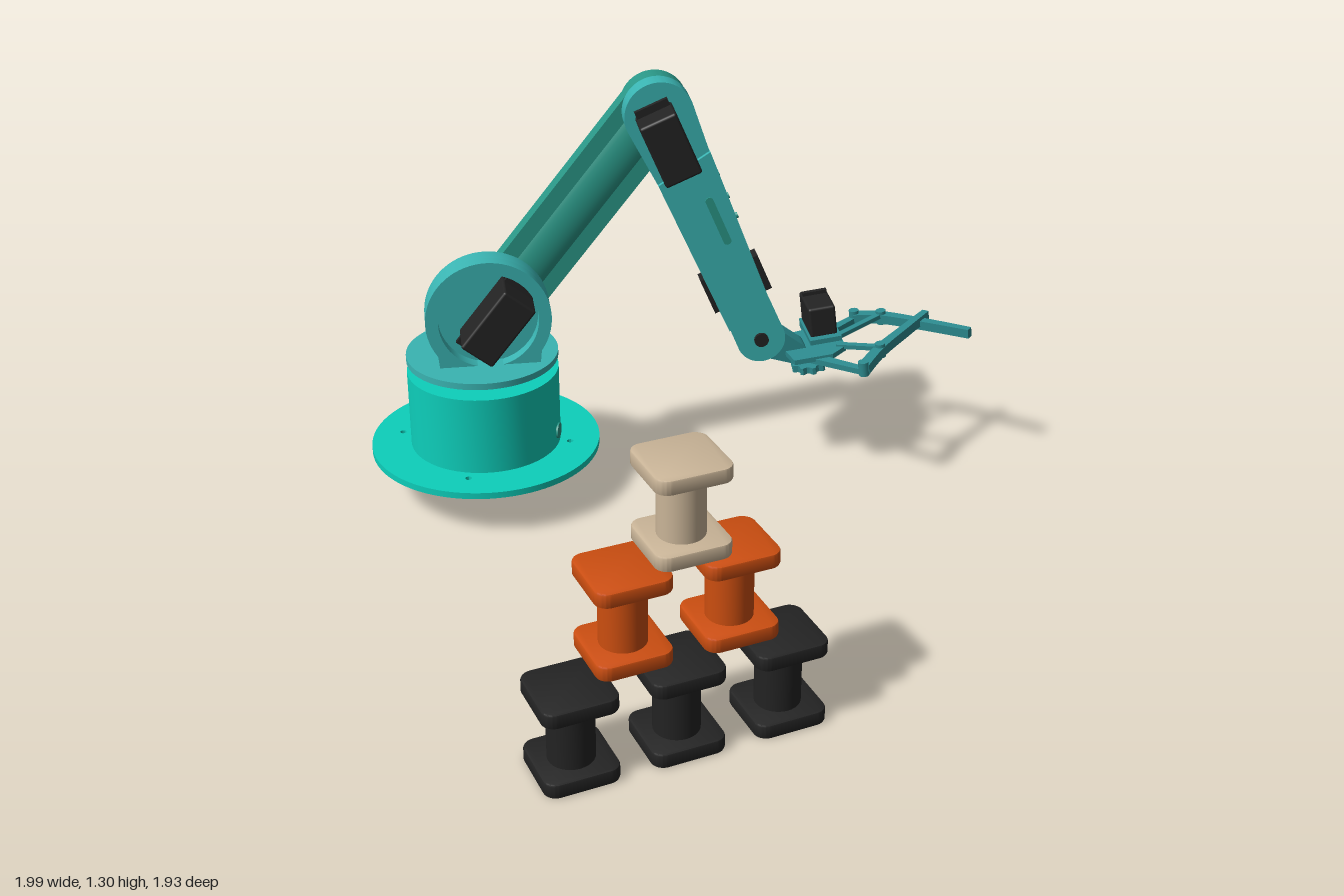
import * as THREE from 'three';
import { toCreasedNormals } from 'three/addons/utils/BufferGeometryUtils.js';
import { RoundedBoxGeometry } from 'three/addons/geometries/RoundedBoxGeometry.js';

const mat = (name, color) => new THREE.MeshStandardMaterial({ name, color });

export function createModel() {
  const base = mat('bright teal', 0x0dcfbb), arm = mat('teal', 0x3ab4b2), upper = mat('deep teal', 0x2a9787),
    grip = mat('slate teal', 0x2d8c90), black = mat('black', 0x232323), orange = mat('orange', 0xcc4e10),
    tan = mat('tan', 0xcab598);

  const add = (parent, name, geo, material, x = 0, y = 0, z = 0) => {
    const m = new THREE.Mesh(geo, material);
    m.name = name;
    m.position.set(x, y, z);
    parent.add(m);
    return m;
  };
  const group = (parent, name, x, y, z) => {
    const g = new THREE.Group();
    g.name = name;
    g.position.set(x, y, z);
    parent.add(g);
    return g;
  };
  const extrude = (shape, depth) =>
    toCreasedNormals(new THREE.ExtrudeGeometry(shape, { depth, bevelEnabled: false, curveSegments: 24 }), 0.5);
  const circle = (r, x = 0, y = 0) => new THREE.Path().absarc(x, y, r, 0, Math.PI * 2);
  const disc = (r, depth) => new THREE.CylinderGeometry(r, r, depth, 32).rotateX(Math.PI / 2);

  // outline around two circles, the first at the origin, the second at distance len along y
  const linkShape = (r0, r1, len) => {
    const s = new THREE.Shape(), dir = Math.sign(len);
    if (dir > 0) {
      s.absarc(0, 0, r0, Math.PI, 2 * Math.PI);
      s.absarc(0, len, r1, 0, Math.PI);
    } else {
      s.absarc(0, len, r1, Math.PI, 2 * Math.PI);
      s.absarc(0, 0, r0, 0, Math.PI);
    }
    s.closePath();
    return s;
  };
  // flat tapering bar along a curve through points [x, z]
  const barGeometry = (pts, w0, w1, depth) => {
    const curve = new THREE.SplineCurve(pts.map(p => new THREE.Vector2(...p)));
    const left = [], right = [], n = pts.length > 2 ? 14 : 1;
    for (let i = 0; i <= n; i++) {
      const p = curve.getPoint(i / n), t = curve.getTangent(i / n), w = (w0 + (w1 - w0) * i / n) / 2;
      left.push(new THREE.Vector2(p.x - t.y * w, p.y + t.x * w));
      right.unshift(new THREE.Vector2(p.x + t.y * w, p.y - t.x * w));
    }
    return extrude(new THREE.Shape([...left, ...right]), depth).rotateX(Math.PI / 2);
  };
  // servo motor: case, mounting ears and cap
  const servo = (parent, name, x, y, z, w, h, d) => {
    const g = group(parent, name, x, y, z);
    add(g, 'servoCase', new RoundedBoxGeometry(w, h, d, 2, 0.008), black);
    add(g, 'servoEars', new THREE.BoxGeometry(w * 0.9, h * 1.22, 0.015), black, 0, 0, -d * 0.25);
    return g;
  };

  const root = new THREE.Group();
  root.name = 'robotArmWithSpools';

  // fixed base
  const baseGroup = group(root, 'base', -0.263, 0, -0.613);
  const flange = new THREE.Shape().absarc(0, 0, 0.353, 0, Math.PI * 2);
  flange.holes.push(circle(0.2));
  for (let i = 0; i < 4; i++) {
    const a = 0.79 + i * Math.PI / 2;
    flange.holes.push(circle(0.01, 0.265 * Math.cos(a), 0.265 * Math.sin(a)));
  }
  const flangeGeo = toCreasedNormals(new THREE.ExtrudeGeometry(flange,
    { depth: 0.02, bevelEnabled: false, curveSegments: 64 }), 0.5).rotateX(-Math.PI / 2);
  add(baseGroup, 'flange', flangeGeo, base, 0, 0.135, 0);
  const wall = [[0.2, 0.14], [0.232, 0.14], [0.232, 0.4], [0.05, 0.4], [0.05, 0.38], [0.2, 0.38], [0.2, 0.14]];
  add(baseGroup, 'drum', toCreasedNormals(
    new THREE.LatheGeometry(wall.map(p => new THREE.Vector2(...p)), 64), 0.5), base);
  const port = add(baseGroup, 'cablePort', disc(0.024, 0.009), upper, 0.152, 0.2, 0.176);
  port.rotation.y = 0.71;
  const baseServo = add(baseGroup, 'turntableServo', new THREE.BoxGeometry(0.18, 0.13, 0.1), black, 0, 0.36, -0.03);
  baseServo.rotation.y = -0.52;
  add(baseGroup, 'turntableHub', new THREE.CylinderGeometry(0.06, 0.06, 0.06, 24), black, 0, 0.42, 0);

  // turning part: x runs along the arm, z towards the servos
  const turn = group(root, 'turningArm', -0.263, 0, -0.613);
  turn.rotation.y = -Math.PI / 6;
  add(turn, 'turntable', new THREE.CylinderGeometry(0.232, 0.232, 0.02, 64), arm, 0, 0.445, 0);

  // shoulder bracket with a raised rim
  const arch = r => {
    const s = new THREE.Shape();
    s.moveTo(-0.15, -0.155);
    s.lineTo(0.15, -0.155);
    s.absarc(0, 0, r, -0.6, Math.PI + 0.6);
    s.closePath();
    return s;
  };
  add(turn, 'shoulderBracket', extrude(arch(0.188), 0.05), arm, 0.02, 0.6, 0.02);
  const rim = arch(0.188);
  rim.holes.push(circle(0.15));
  add(turn, 'shoulderRim', extrude(rim, 0.04), arm, 0.02, 0.6, 0.07);

  // upper arm: flat round ends joined by a bulging beam
  const upperArm = group(turn, 'upperArm', 0.06, 0.595, 0);
  upperArm.rotation.z = -Math.atan2(0.48, 0.605);
  add(upperArm, 'upperArmPlate', extrude(linkShape(0.1, 0.1, 0.772), 0.06), upper, 0, 0, -0.05);
  const beam = new THREE.CylinderGeometry(0.097, 0.097, 0.7, 32, 1);
  const bp = beam.attributes.position;
  for (let i = 0; i < bp.count; i++) {
    const z = bp.getZ(i);
    bp.setXYZ(i, bp.getX(i), bp.getY(i) * (0.84 + z * 1.6), z * 0.68 - 0.045);
  }
  add(upperArm, 'upperArmBeam', toCreasedNormals(beam, 0.5), upper, 0, 0.386, 0);
  for (const y of [0, 0.772]) {
    const ring = new THREE.Shape().absarc(0, 0, 0.1, 0, Math.PI * 2);
    ring.holes.push(circle(0.078));
    add(upperArm, 'jointRim', extrude(ring, 0.014), upper, 0, y, -0.062);
    for (const s of [-1, 0, 1])
      add(upperArm, 'jointScrew', disc(s ? 0.008 : 0.016, 0.008), black, 0, y + s * 0.035, -0.052);
  }
  servo(upperArm, 'shoulderServo', -0.02, 0, 0.13, 0.115, 0.22, 0.13);

  // forearm hanging down from the elbow
  const forearm = group(turn, 'forearm', 0.54, 1.2, 0);
  forearm.rotation.z = 0.404;
  add(forearm, 'elbowPlate', extrude(linkShape(0.103, 0.08, -0.3), 0.065), arm, 0, 0, 0.01);
  const body = new THREE.Shape([[-0.088, -0.19], [-0.078, -0.72], [0.07, -0.75], [0.092, -0.16]]
    .map(p => new THREE.Vector2(...p)));
  add(forearm, 'forearmBody', extrude(body, 0.11), arm, 0, 0, -0.022);
  const slot = linkShape(0.012, 0.012, -0.14);
  add(forearm, 'forearmSlot', extrude(slot, 0.006), upper, 0.03, -0.3, 0.085);
  for (const y of [-0.25, -0.33, -0.4]) {
    const boss = add(forearm, 'forearmScrew', disc(0.009, 0.008), upper, 0.087, y, 0.035);
    boss.rotation.y = Math.PI / 2;
  }
  servo(forearm, 'elbowServo', -0.01, -0.07, 0.125, 0.115, 0.2, 0.12);
  add(forearm, 'wristServo', new THREE.BoxGeometry(0.19, 0.12, 0.055), black, 0, -0.6, 0.03);
  for (const z of [-0.022, 0.068])
    add(forearm, 'wristCheek', extrude(linkShape(0.074, 0.075, -0.1), 0.02), arm, 0, -0.69, z);
  add(forearm, 'wristPin', disc(0.022, 0.13), black, 0, -0.79, 0.033);

  // wrist knuckle
  const wrist = group(turn, 'wrist', 0.852, 0.465, 0.033);
  wrist.rotation.z = 1.1;
  add(wrist, 'wristKnuckle', extrude(linkShape(0.058, 0.035, -0.13), 0.07), grip, 0, 0, -0.035);

  // gripper: x forward, mirrored in z
  const gripper = group(turn, 'gripper', 0.95, 0.385, 0.05);
  gripper.rotation.z = 0.12;
  const palm = new THREE.Shape([[-0.03, -0.06], [0.02, -0.1], [0.15, -0.12], [0.17, -0.03], [0.17, 0.05],
    [0.12, 0.09], [0, 0.09]].map(p => new THREE.Vector2(...p)));
  add(gripper, 'palmPlate', extrude(palm, 0.016).rotateX(Math.PI / 2), grip, 0, 0.034, 0);
  add(gripper, 'servoMount', new THREE.BoxGeometry(0.1, 0.03, 0.17), grip, 0.118, 0.035, -0.075);
  servo(gripper, 'gripperServo', 0.118, 0.095, -0.086, 0.085, 0.1, 0.145);
  const gear = new THREE.Shape();
  for (let i = 0; i < 36; i++) {
    const r = i % 4 < 2 ? 0.056 : 0.045, a = i * Math.PI / 18;
    gear[i ? 'lineTo' : 'moveTo'](r * Math.cos(a), r * Math.sin(a));
  }
  const gearGeo = extrude(gear, 0.022).rotateX(Math.PI / 2);
  const fingers = [
    [[0.25, -0.18], [0.33, -0.145], [0.44, -0.05], [0.56, 0.065]],
    [[0.19, 0.2], [0.267, 0.1], [0.375, -0.005], [0.462, -0.087]],
  ];
  fingers.forEach((pts, i) => {
    const s = i ? 1 : -1, y = 0.014 + i * 0.012;
    add(gripper, 'fingerGear', gearGeo, grip, 0.05, 0.005, s * 0.05);
    add(gripper, 'fingerCrank', barGeometry([[0.05, s * 0.05], pts[0]], 0.034, 0.024, 0.018), grip, 0, y, 0);
    add(gripper, 'fingerLink', barGeometry([[0.145, s * 0.035], pts[1]], 0.02, 0.02, 0.014), grip, 0, y + 0.014, 0);
    add(gripper, 'finger', barGeometry(pts, 0.036, 0.022, 0.03), grip, 0, y + 0.012, 0);
    for (const p of [pts[0], pts[1]])
      add(gripper, 'fingerPivot', new THREE.CylinderGeometry(0.016, 0.016, 0.045, 16), grip, p[0], y, p[1]);
  });

  // pyramid of spools
  const spools = group(root, 'spoolStack', -0.61, 0, 0.78);
  spools.rotation.y = -0.25;
  const h = 0.1, r = 0.035, square = new THREE.Shape();
  for (const [x, y, a] of [[1, 1, 0], [-1, 1, 1], [-1, -1, 2], [1, -1, 3]])
    square.absarc(x * (h - r), y * (h - r), r, a * Math.PI / 2, (a + 1) * Math.PI / 2);
  square.closePath();
  const cap = toCreasedNormals(new THREE.ExtrudeGeometry(square, {
    depth: 0.03, bevelThickness: 0.005, bevelSize: 0.005, bevelOffset: -0.005, bevelSegments: 2, curveSegments: 8,
  }), 0.5).rotateX(-Math.PI / 2);
  const core = new THREE.CylinderGeometry(0.061, 0.061, 0.2, 32);
  const rows = [[0, black, [-0.283, 0, 0.283]], [0.3, orange, [-0.142, 0.142]], [0.565, tan, [0.012]]];
  for (const [y, color, xs] of rows)
    for (const x of xs) {
      const spool = group(spools, 'spool', x, y, 0);
      add(spool, 'spoolBottom', cap, color, 0, 0.005, 0);
      add(spool, 'spoolTop', cap, color, 0, 0.21, 0);
      add(spool, 'spoolCore', core, color, 0, 0.1225, 0);
    }
  return root;
}
